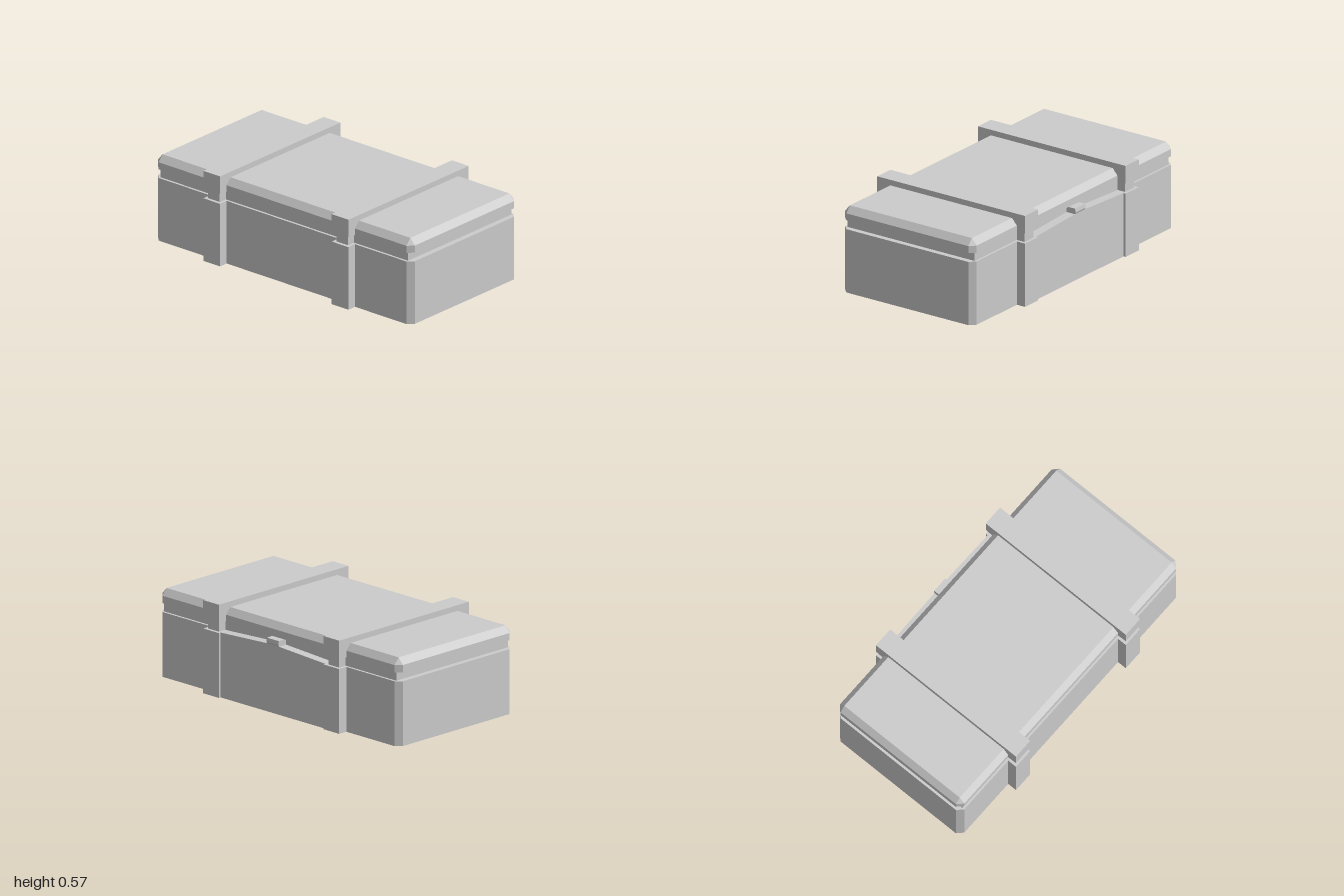
import * as THREE from 'three';

const material = new THREE.MeshStandardMaterial({
  color: 0xcccccc, flatShading: true, side: THREE.DoubleSide,
});

// Joins rows of [x, y, z] points into a flat-shaded skin, skipping empty triangles
function skin(name, rows) {
  const positions = [];
  const addTriangle = (a, b, c) => {
    const tri = new THREE.Triangle(...[a, b, c].map((p) => new THREE.Vector3(...p)));
    if (tri.getArea() > 1e-8) positions.push(...a, ...b, ...c);
  };
  for (let i = 0; i < rows.length - 1; i++) {
    for (let j = 0; j < rows[i].length - 1; j++) {
      const a = rows[i][j], b = rows[i][j + 1];
      const c = rows[i + 1][j + 1], d = rows[i + 1][j];
      addTriangle(a, b, c);
      addTriangle(a, c, d);
    }
  }
  const geometry = new THREE.BufferGeometry();
  geometry.setAttribute('position', new THREE.Float32BufferAttribute(positions, 3));
  geometry.computeVertexNormals();
  const mesh = new THREE.Mesh(geometry, material);
  mesh.name = name;
  return mesh;
}

// Strap centre and half width along the length of the case
const STRAP_Z = 0.5, STRAP_HALF = 0.065;

// Hollow end of the case: walls, groove and bevelled lid
function caseEnd(name) {
  // y, half width, end z, corner chamfer
  const levels = [
    [0, 0.48, 1, 0.035], [0.4, 0.48, 1, 0.035],
    [0.4, 0.465, 0.965, 0], [0.455, 0.465, 0.965, 0],
    [0.455, 0.48, 1, 0.035], [0.5, 0.48, 1, 0.035],
    [0.54, 0.445, 0.965, 0], [0.54, 0, 0.965, 0],
  ];
  const z0 = STRAP_Z + STRAP_HALF;
  return skin(name, levels.map(([y, w, l, c]) => [
    [-w, y, z0], [-w, y, l - c], [-w + c, y, l],
    [w - c, y, l], [w, y, l - c], [w, y, z0],
  ]));
}

// Middle of the case, with a thicker wall on the latch side that rises to the latch
function caseMiddle() {
  const z1 = STRAP_Z - STRAP_HALF;
  const stations = [[z1, 0.4], [0.05, 0.42], [-0.05, 0.42], [-z1, 0.4]];
  return skin('caseMiddle', stations.map(([z, h]) => [
    [-0.48, 0], [-0.48, 0.4], [-0.465, 0.4], [-0.465, 0.455], [-0.48, 0.455],
    [-0.48, 0.5], [-0.445, 0.54], [0.445, 0.54], [0.48, 0.5], [0.48, 0.455],
    [0.465, 0.455], [0.465, h], [0.525, h], [0.525, 0],
  ].map(([x, y]) => [x, y, z])));
}

// Hollow upright of a strap, with a narrow neck at the groove
function strapUpright(side, end) {
  const nearWall = side > 0 ? 0.525 : 0.48;
  // y, outer x, half width, inner x towards the middle, inner x towards the end
  const levels = [
    [0, 0.54, 0.065, nearWall, 0.48], [0.4, 0.54, 0.065, nearWall, 0.48],
    [0.4, 0.52, 0.045, 0.465, 0.465], [0.46, 0.52, 0.045, 0.465, 0.465],
    [0.465, 0.54, 0.065, 0.48, 0.48],
  ];
  return skin('strapUpright', levels.map(([y, w, h, near, far]) => {
    const path = [
      [near, -STRAP_HALF], [near, -h], [w, -h], [w, h], [far, h], [far, STRAP_HALF],
    ].map(([x, dz]) => [side * x, y, end * (STRAP_Z + dz)]);
    return side * end > 0 ? path.reverse() : path;
  }));
}

// Raised band of a strap over the lid: outer skin and two cheeks
function strapBand(end) {
  const group = new THREE.Group();
  group.name = 'strapBand';
  const outer = [[0.54, 0.465], [0.54, 0.575], [-0.54, 0.575], [-0.54, 0.465]];
  group.add(skin('bandTop', [-STRAP_HALF, STRAP_HALF].map(
    (z) => outer.map(([x, y]) => [x, y, z]))));
  const half = [[0.54, 0.575], [0.54, 0.465], [0.48, 0.458], [0.48, 0.5], [0.445, 0.54]];
  const outline = [...half, ...half.map(([x, y]) => [-x, y]).reverse()];
  const cheekShape = new THREE.Shape(outline.map(([x, y]) => new THREE.Vector2(x, y)));
  for (const s of [1, -1]) {
    const cheek = new THREE.Mesh(new THREE.ShapeGeometry(cheekShape), material);
    cheek.name = 'bandCheek';
    cheek.position.z = s * STRAP_HALF;
    cheek.rotation.y = s > 0 ? 0 : Math.PI;
    group.add(cheek);
  }
  group.position.z = end * STRAP_Z;
  return group;
}

// Small latch in the groove
function latch() {
  const shape = new THREE.Shape([
    [0.465, 0.415], [0.523, 0.415], [0.53, 0.43], [0.527, 0.455], [0.465, 0.455],
  ].map(([x, y]) => new THREE.Vector2(x, y)));
  const geometry = new THREE.ExtrudeGeometry(shape, { depth: 0.1, bevelEnabled: false });
  const mesh = new THREE.Mesh(geometry.translate(0, 0, -0.05), material);
  mesh.name = 'latch';
  return mesh;
}

export function createModel() {
  const model = new THREE.Group();
  model.name = 'case';
  const front = caseEnd('caseFront');
  const back = caseEnd('caseBack');
  back.rotation.y = Math.PI;
  model.add(front, back, caseMiddle(), latch());

  for (const end of [1, -1]) {
    const strap = new THREE.Group();
    strap.name = end > 0 ? 'frontStrap' : 'backStrap';
    strap.add(strapBand(end), strapUpright(1, end), strapUpright(-1, end));
    model.add(strap);
  }
  return model;
}
